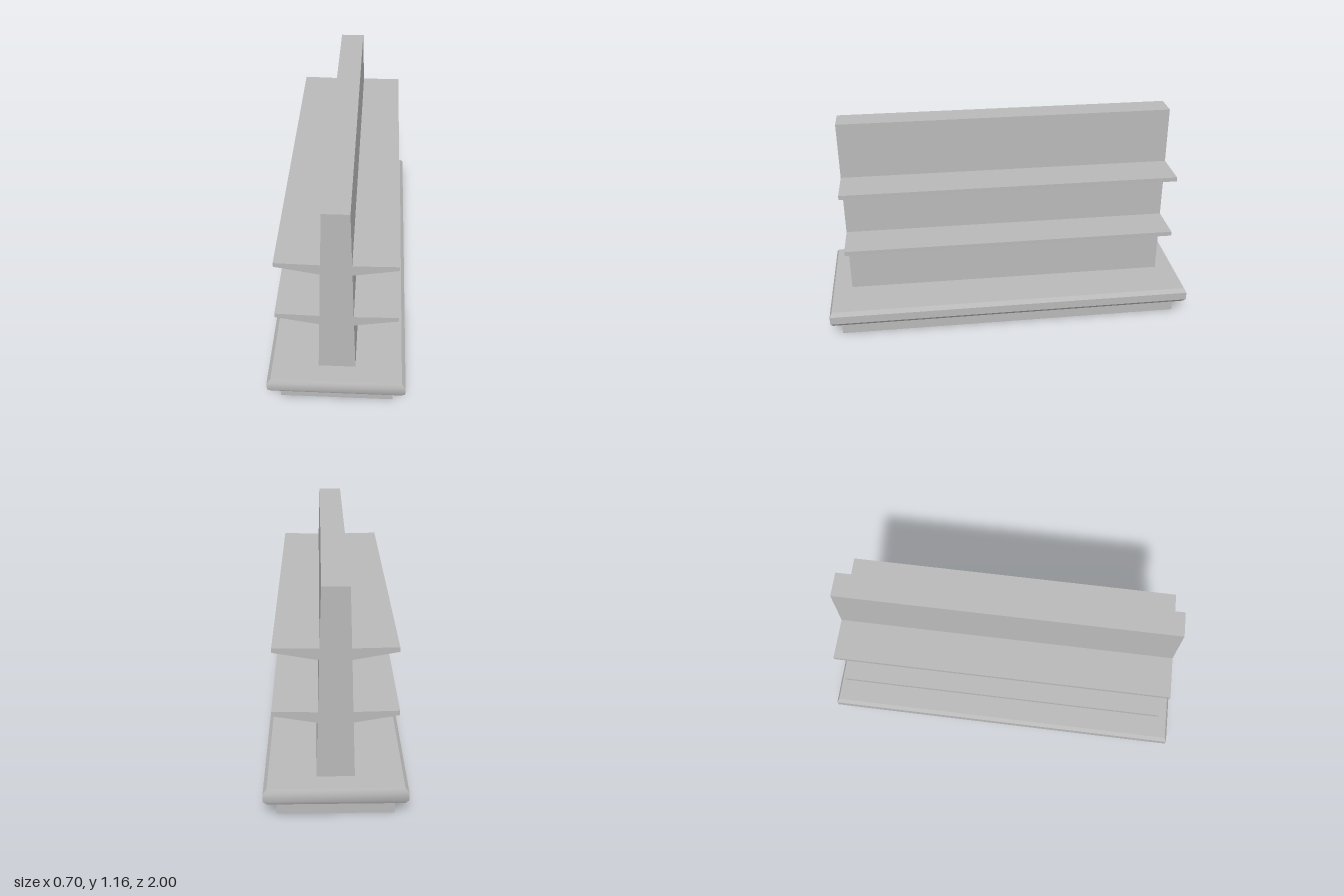
import * as THREE from 'three';
import { toCreasedNormals } from 'three/addons/utils/BufferGeometryUtils.js';

// Skin of quads between successive cross-sections (lists of [x, y, z])
function loft(rings, closed) {
  const pos = [];
  for (let r = 0; r + 1 < rings.length; r++) {
    const lo = rings[r], hi = rings[r + 1], n = lo.length;
    for (let i = 0; i < (closed ? n : n - 1); i++) {
      const j = (i + 1) % n;
      pos.push(...lo[i], ...lo[j], ...hi[j], ...lo[i], ...hi[j], ...hi[i]);
    }
  }
  const geo = new THREE.BufferGeometry();
  geo.setAttribute('position', new THREE.Float32BufferAttribute(pos, 3));
  return toCreasedNormals(geo, 0.6);
}

const rect = (hx, hz) => [[hx, hz], [hx, -hz], [-hx, -hz], [-hx, hz]];
const toPoints = (list) => list.map(([x, y]) => new THREE.Vector2(x, y));

export function createModel() {
  const model = new THREE.Group();
  model.name = 'shelfUnit';
  const grey = new THREE.MeshStandardMaterial({ color: 0xb8b8b8, side: THREE.DoubleSide });
  grey.name = 'grey';
  const add = (name, geo) => {
    const mesh = new THREE.Mesh(geo, grey);
    mesh.name = name;
    model.add(mesh);
    return mesh;
  };

  const topY = 0.174, depth = 0.887, footX = 0.094;

  // Hollow base: [half width, half depth, y], open underneath
  const ringAt = ([hx, hz, y]) => rect(hx, hz).map(([x, z]) => [x, y, z]);
  add('plinth', loft([[0.288, 0.945, 0], [0.288, 0.945, 0.086]].map(ringAt), true));
  add('baseSlab', loft([
    [0.288, 0.945, 0.086], [0.33, 0.988, 0.086], [0.349, 1, 0.108],
    [0.349, 1, 0.153], [0.33, 0.988, topY],
  ].map(ringAt), true));

  // Deck of the base, open where the hollow spine stands
  const deck = new THREE.Shape(toPoints(rect(0.33, 0.988)));
  deck.holes.push(new THREE.Path(toPoints(rect(footX, depth))));
  add('baseDeck', new THREE.ShapeGeometry(deck).rotateX(-Math.PI / 2).translate(0, topY, 0));

  // Tapering spine with two shelves on each side
  const half = [
    [footX, topY],
    [0.085, 0.474], [0.302, 0.512], [0.302, 0.536], [0.083, 0.531],
    [0.076, 0.802], [0.292, 0.841], [0.292, 0.864], [0.074, 0.86],
    [0.065, 1.16],
  ];
  const profile = [...half, ...half.map(([x, y]) => [-x, y]).reverse()];
  const slice = (z) => profile.map(([x, y]) => [x, y, z]);
  add('spineAndShelves', loft([slice(-depth), slice(depth)], false));

  // End panels
  const end = new THREE.ShapeGeometry(new THREE.Shape(toPoints(profile)));
  add('frontEnd', end).position.z = depth;
  const back = add('backEnd', end);
  back.rotation.y = Math.PI;
  back.position.z = -depth;

  return model;
}
